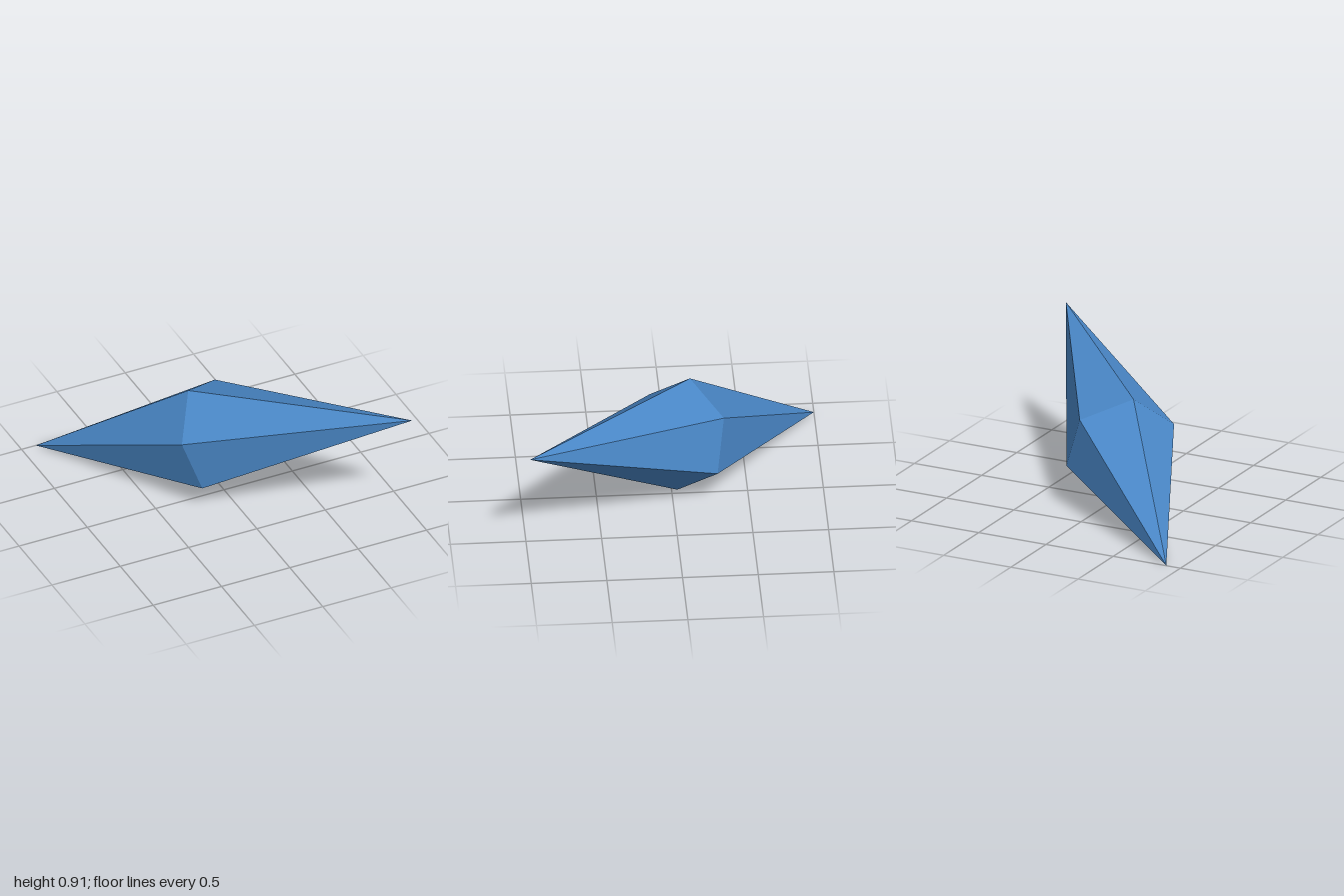
import * as THREE from 'three';

export function createModel() {
  const group = new THREE.Group();
  const blue = new THREE.MeshStandardMaterial({ color: 0x4a88c8, flatShading: true });
  blue.name = 'crystalBlue';

  // tips of the tilted six-sided crystal; its widest ring sits below the middle
  const upperTip = new THREE.Vector3(0.895, 0.914, 1);
  const lowerTip = new THREE.Vector3(-0.895, 0.003, -1);
  const ringCentre = lowerTip.clone().lerp(upperTip, 0.459);
  const radius = 0.38;

  const crystal = new THREE.Group();
  crystal.name = 'crystal';

  // open six-sided spike growing from the ring, sign +1 up or -1 down
  const addSpike = (name, height, sign) => {
    const geometry = new THREE.ConeGeometry(radius, height, 6, 1, true);
    geometry.translate(0, height / 2, 0);
    if (sign < 0) geometry.rotateX(Math.PI);
    const spike = new THREE.Mesh(geometry, blue);
    spike.name = name;
    crystal.add(spike);
  };
  addSpike('upperSpike', ringCentre.distanceTo(upperTip), 1);
  addSpike('lowerSpike', ringCentre.distanceTo(lowerTip), -1);

  // lay the crystal along the tip-to-tip axis with one ring corner uppermost
  const axis = upperTip.clone().sub(lowerTip).normalize();
  const corner = new THREE.Vector3(-0.123, 0.357, -0.048);
  corner.addScaledVector(axis, -corner.dot(axis)).normalize();
  const side = new THREE.Vector3().crossVectors(axis, corner);
  crystal.quaternion.setFromRotationMatrix(new THREE.Matrix4().makeBasis(side, axis, corner));
  crystal.position.copy(ringCentre);

  group.add(crystal);
  return group;
}
